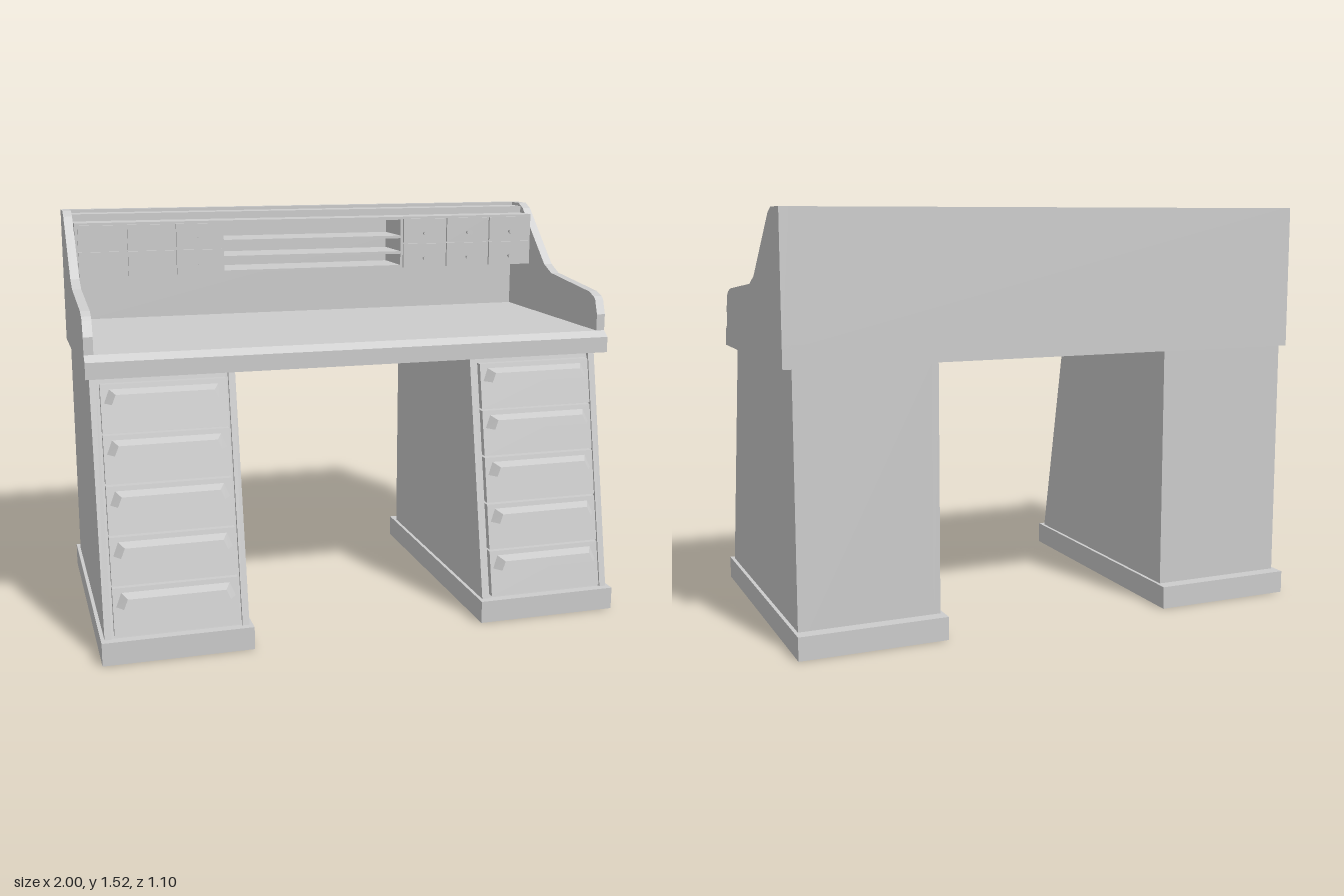
import * as THREE from 'three';

const paint = new THREE.MeshStandardMaterial({ color: 0xcccccc });
paint.name = 'light grey';

function add(parent, name, geo) {
  const mesh = new THREE.Mesh(geo, paint);
  mesh.name = name;
  parent.add(mesh);
  return mesh;
}

// Box given by its limits on each axis
function box(parent, name, x0, x1, y0, y1, z0, z1) {
  const geo = new THREE.BoxGeometry(x1 - x0, y1 - y0, z1 - z0);
  geo.translate((x0 + x1) / 2, (y0 + y1) / 2, (z0 + z1) / 2);
  return add(parent, name, geo);
}

// Side profile of [z, y] points, extruded from x0 to x1
function profile(parent, name, points, x0, x1) {
  const shape = new THREE.Shape(points.map(([z, y]) => new THREE.Vector2(z, y)));
  const geo = new THREE.ExtrudeGeometry(shape, { depth: x1 - x0, bevelEnabled: false });
  geo.rotateY(-Math.PI / 2);
  geo.translate(x1, 0, 0);
  return add(parent, name, geo);
}

// Depth of the sloping pedestal front at height y
const frontZ = (y) => 0.522 - 0.205 * (y - 0.088);

function slopedPanel(parent, name, x0, x1, y0, y1, back, front) {
  return profile(parent, name, [
    [back, y0], [frontZ(y0) + front, y0], [frontZ(y1) + front, y1], [back, y1],
  ], x0, x1);
}

// Pull with splayed ends and a sloping top, leaning with the drawer front
function drawerPull(parent, y) {
  const geo = new THREE.BoxGeometry(0.43, 0.048, 0.036).toNonIndexed();
  const p = geo.attributes.position;
  for (let i = 0; i < p.count; i++) {
    const top = p.getY(i) > 0, front = p.getZ(i) > 0;
    const half = front ? (top ? 0.175 : 0.19) : (top ? 0.195 : 0.215);
    const py = y + p.getY(i) - (top && front ? 0.014 : 0);
    p.setXYZ(i, Math.sign(p.getX(i)) * half, py, frontZ(py) + 0.01 + (front ? 0.036 : 0));
  }
  geo.computeVertexNormals();
  add(parent, 'drawerPull', geo);
}

function pedestal(name, cx) {
  const g = new THREE.Group();
  g.name = name;
  g.position.x = cx;

  // Hollow plinth frame
  const rim = new THREE.Shape([[-0.273, -0.55], [0.273, -0.55], [0.273, 0.55], [-0.273, 0.55]]
    .map(([x, y]) => new THREE.Vector2(x, y)));
  rim.holes.push(new THREE.Path([[-0.248, -0.515], [-0.248, 0.49], [0.248, 0.49], [0.248, -0.515]]
    .map(([x, y]) => new THREE.Vector2(x, y))));
  const plinth = new THREE.ExtrudeGeometry(rim, { depth: 0.085, bevelEnabled: false });
  plinth.rotateX(-Math.PI / 2);
  add(g, 'plinth', plinth);

  // Carcass between two side panels
  slopedPanel(g, 'carcass', -0.235, 0.235, 0.065, 0.99, -0.5, -0.015);
  for (const s of [-1, 1]) {
    slopedPanel(g, 'sidePanel', Math.min(s * 0.235, s * 0.26), Math.max(s * 0.235, s * 0.26), 0.08, 0.99, -0.5, 0);
  }

  // Five leaning drawers with pulls
  for (let i = 0; i < 5; i++) {
    const y = 0.096 + i * 0.1755;
    slopedPanel(g, 'drawerFront', -0.225, 0.225, y, y + 0.168, frontZ(y) - 0.06, 0.012);
    drawerPull(g, y + 0.128);
  }
  return g;
}

export function createModel() {
  const desk = new THREE.Group();
  desk.name = 'rollTopDesk';
  desk.add(pedestal('rightPedestal', -0.725), pedestal('leftPedestal', 0.703));

  // Worktop with bevelled front edge
  profile(desk, 'worktop', [
    [-0.525, 0.99], [0.375, 0.99], [0.375, 1.05], [0.345, 1.072], [-0.525, 1.072],
  ], -1, 1);

  // Curved side walls
  for (const s of [-1, 1]) {
    profile(desk, 'sideWall', [
      [-0.525, 1.06], [0.345, 1.06], [0.345, 1.135], [0.325, 1.19], [0.31, 1.202], [0.27, 1.216],
      [-0.07, 1.25], [-0.14, 1.28], [-0.375, 1.5], [-0.42, 1.52], [-0.525, 1.52],
    ], Math.min(s, s * 0.966), Math.max(s, s * 0.966));
  }
  box(desk, 'backPanel', -0.966, 0.966, 1.06, 1.52, -0.525, -0.49);
  box(desk, 'topRail', -0.966, 0.966, 1.475, 1.507, -0.49, -0.4);

  // Organiser: boards around two drawer banks and open shelves
  const organiser = new THREE.Group();
  organiser.name = 'organiser';
  desk.add(organiser);
  box(organiser, 'topBoard', -0.966, 0.966, 1.467, 1.479, -0.49, -0.293);
  for (const s of [-1, 1]) {
    box(organiser, 'drawerBank', s < 0 ? -0.966 : 0.376, s < 0 ? -0.376 : 0.966, 1.267, 1.467, -0.49, -0.293);
    for (let col = 0; col < 3; col++) {
      for (let row = 0; row < 2; row++) {
        const x = s * (0.478 + col * 0.193), y = 1.317 + row * 0.104;
        box(organiser, 'smallDrawer', x - 0.091, x + 0.091, y - 0.049, y + 0.049, -0.293, -0.282);
        const stem = new THREE.CylinderGeometry(0.006, 0.006, 0.022, 10);
        stem.rotateX(Math.PI / 2);
        stem.translate(x, y - 0.011, -0.272);
        add(organiser, 'knobStem', stem);
        const knob = new THREE.CylinderGeometry(0.012, 0.01, 0.012, 12);
        knob.rotateX(Math.PI / 2);
        knob.translate(x, y - 0.011, -0.258);
        add(organiser, 'knob', knob);
      }
    }
  }
  for (const y of [1.267, 1.325, 1.39]) {
    box(organiser, 'openShelf', -0.376, 0.376, y, y + 0.011, -0.49, -0.293);
  }
  return desk;
}
